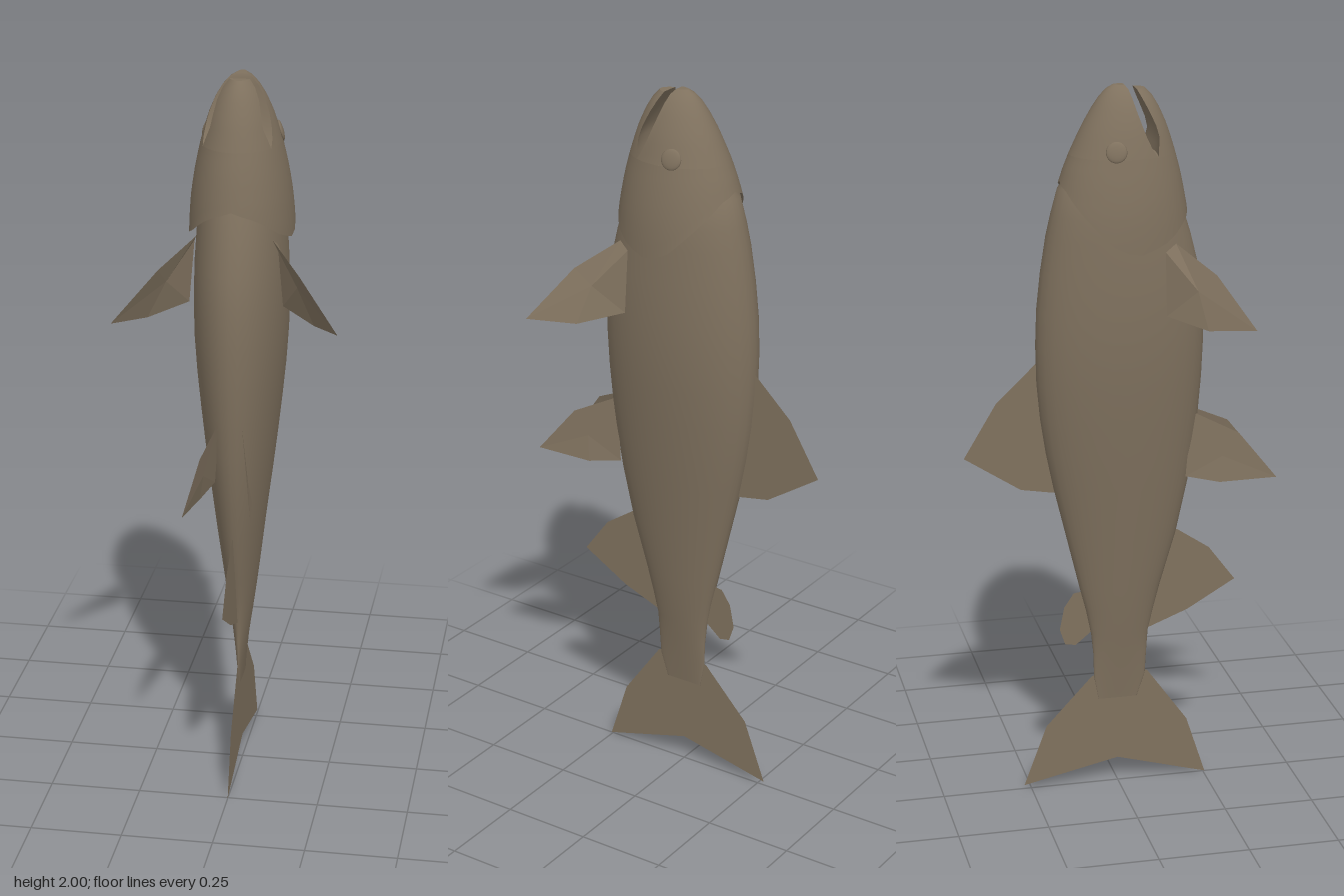
import * as THREE from 'three';

const SEG = 32;
const TAU = Math.PI * 2;

// Profiles as rows of [y, half width, back z, belly z]
const BODY = [
  [0.26, 0.001, -0.055, 0.055], [0.33, 0.009, -0.068, 0.078], [0.4, 0.018, -0.07, 0.082],
  [0.46, 0.027, -0.076, 0.086], [0.53, 0.037, -0.09, 0.102], [0.6, 0.046, -0.108, 0.12], [0.75, 0.064, -0.144, 0.164],
  [0.9, 0.083, -0.18, 0.196], [1.0, 0.095, -0.2, 0.211], [1.1, 0.106, -0.215, 0.223],
  [1.2, 0.116, -0.224, 0.231], [1.3, 0.123, -0.226, 0.235], [1.4, 0.125, -0.222, 0.233],
  [1.5, 0.123, -0.211, 0.222], [1.6, 0.117, -0.195, 0.197], [1.66, 0.112, -0.181, 0.178],
  [1.73, 0.1, -0.162, 0.155], [1.78, 0.07, -0.12, 0.12],
];
const HEAD = [
  [1.56, 0.14, -0.202, 0.198], [1.62, 0.138, -0.191, 0.192], [1.68, 0.133, -0.177, 0.184],
  [1.74, 0.124, -0.16, 0.173], [1.78, 0.116, -0.147, 0.164], [1.82, 0.107, -0.131, 0.153],
  [1.86, 0.096, -0.113, 0.141], [1.9, 0.083, -0.093, 0.127], [1.94, 0.066, -0.07, 0.109],
  [1.97, 0.048, -0.05, 0.091], [1.99, 0.03, -0.031, 0.072], [2.0, 0.014, -0.014, 0.055],
];
// Mouth opening as rows of [y, upper lip z, lower lip z]
const MOUTH = [
  [1.82, 0.088, 0.089], [1.84, 0.074, 0.092], [1.87, 0.06, 0.096], [1.9, 0.049, 0.088],
  [1.94, 0.036, 0.07], [1.97, 0.028, 0.055], [1.99, 0.022, 0.045], [2.0, 0.015, 0.045],
];

// Linear lookup in a table by its first column
function lookup(rows, y) {
  let i = 0;
  while (i < rows.length - 2 && y > rows[i + 1][0]) i++;
  const t = THREE.MathUtils.clamp((y - rows[i][0]) / (rows[i + 1][0] - rows[i][0]), 0, 1);
  return rows[i].map((v, k) => v + (rows[i + 1][k] - v) * t);
}

function onOval([y, w, back, front], a) {
  return [w * Math.sin(a), y, (front + back) / 2 + ((front - back) / 2) * Math.cos(a)];
}

// Skin between closed rings running upwards, with optional flat caps
function loft(rings, capBottom, capTop) {
  const n = rings[0].length, pos = rings.flat(2), idx = [];
  for (let i = 0; i < rings.length - 1; i++) {
    for (let j = 0; j < n; j++) {
      const k = (j + 1) % n, a = i * n + j, b = i * n + k;
      idx.push(a, b, b + n, a, b + n, a + n);
    }
  }
  const cap = (ring, up) => {
    const start = pos.length / 3;
    const mid = [0, 1, 2].map((c) => ring.reduce((s, p) => s + p[c], 0) / n);
    pos.push(...mid, ...ring.flat());
    for (let j = 0; j < n; j++) {
      const a = start + 1 + j, b = start + 1 + ((j + 1) % n);
      idx.push(start, ...(up ? [a, b] : [b, a]));
    }
  };
  if (capBottom) cap(rings[0], false);
  if (capTop) cap(rings[rings.length - 1], true);
  const g = new THREE.BufferGeometry();
  g.setAttribute('position', new THREE.Float32BufferAttribute(pos, 3));
  g.setIndex(idx);
  g.computeVertexNormals();
  return g;
}

// Flat fin from its outline
function finGeometry(points) {
  const n = points.length;
  const mid = [0, 1, 2].map((c) => points.reduce((s, p) => s + p[c], 0) / n);
  const pos = [];
  points.forEach((p, i) => pos.push(...mid, ...p, ...points[(i + 1) % n]));
  const g = new THREE.BufferGeometry();
  g.setAttribute('position', new THREE.Float32BufferAttribute(pos, 3));
  g.computeVertexNormals();
  return g;
}

// Lower edge of the head: gill flap low on the cheeks, higher at throat and nape
const GILL = [
  [0, 1.67], [0.5, 1.645], [1.0, 1.595], [1.4, 1.57], [1.7, 1.585],
  [2.0, 1.635], [2.3, 1.68], [2.7, 1.73], [Math.PI, 1.75],
];

function headRings() {
  const rings = [];
  const angles = Array.from({ length: SEG }, (_, j) => (j / SEG) * TAU);
  const gill = (a) => lookup(GILL, a > Math.PI ? TAU - a : a)[1];
  // inner rim tucked against the body, then a sharp outer rim
  const inner = angles.map((a) => {
    const p = onOval(lookup(BODY, gill(a) + 0.02), a);
    return [p[0] * 0.96, p[1], p[2] * 0.96];
  });
  const rim = angles.map((a) => onOval(lookup(HEAD, gill(a)), a));
  rings.push(inner, rim, rim);
  for (let i = 1; i <= 7; i++) {
    rings.push(angles.map((a) => onOval(lookup(HEAD, gill(a) + (1.82 - gill(a)) * (i / 7)), a)));
  }
  return rings;
}

// Jaw section: outer arc of the head oval closed by a slightly hollow lip line
function jawRing(y, upper) {
  const row = lookup(HEAD, y), mouth = lookup(MOUTH, y);
  const z = upper ? mouth[1] : mouth[2];
  const c = (row[2] + row[3]) / 2, d = (row[3] - row[2]) / 2;
  const a = Math.acos(THREE.MathUtils.clamp((z - c) / d, -0.98, 0.98));
  const from = upper ? a : -a, to = upper ? TAU - a : a;
  const ring = [];
  for (let j = 0; j <= 24; j++) ring.push(onOval(row, from + ((to - from) * j) / 24));
  const start = ring[24], end = ring[0];
  const hollow = (upper ? -0.012 : 0.01) * Math.min(1, (2.0 - y) * 12);
  for (let j = 0; j <= 10; j++) {
    const t = j / 10;
    ring.push([start[0] + (end[0] - start[0]) * t, y, start[2] + hollow * 4 * t * (1 - t)]);
  }
  return ring;
}

export function createModel() {
  const group = new THREE.Group();
  const skin = new THREE.MeshStandardMaterial({ color: 0x7f715e, side: THREE.DoubleSide });
  skin.name = 'brown skin';
  const add = (name, geometry) => {
    const mesh = new THREE.Mesh(geometry, skin);
    mesh.name = name;
    group.add(mesh);
    return mesh;
  };

  // Body and head
  const oval = (row) => Array.from({ length: SEG }, (_, j) => onOval(row, (j / SEG) * TAU));
  add('body', loft(BODY.map(oval), true, true));
  add('head', loft(headRings(), false, true));

  // Jaws
  const levels = [1.82, 1.84, 1.87, 1.9, 1.94, 1.97, 1.99];
  add('upperJaw', loft([...levels, 2.0].map((y) => jawRing(y, true)), false, true));
  add('lowerJaw', loft(levels.map((y) => jawRing(y, false)), false, true));

  // Fins on the centre line, as [z, y]
  const centreFins = {
    dorsalFin: [[-0.17, 1.27], [-0.225, 1.255], [-0.335, 1.15], [-0.425, 1.0], [-0.27, 0.9], [-0.18, 0.885], [-0.14, 0.9]],
    adiposeFin: [[-0.09, 0.59], [-0.125, 0.585], [-0.152, 0.545], [-0.165, 0.48], [-0.15, 0.435], [-0.12, 0.43], [-0.06, 0.48]],
    analFin: [[0.14, 0.76], [0.17, 0.75], [0.26, 0.69], [0.335, 0.59], [0.2, 0.51], [0.075, 0.46]],
    tailFin: [[0, 0.36], [0.085, 0.335], [0.2, 0.175], [0.255, 0.005], [0, 0.075], [-0.27, 0.015], [-0.205, 0.19], [-0.075, 0.33]],
  };
  for (const [name, outline] of Object.entries(centreFins)) {
    add(name, finGeometry(outline.map(([z, y]) => [0, y, z])));
  }

  // Paired fins and eyes
  const pelvic = [[0.03, 1.1, 0.2], [0.06, 1.04, 0.325], [0.09, 0.915, 0.425], [0.07, 0.905, 0.27], [0.045, 0.92, 0.18]];
  const pectoral = [
    [0.1, 1.59, 0.135], [0.185, 1.52, 0.225], [0.295, 1.395, 0.305],
    [0.22, 1.38, 0.195], [0.125, 1.4, 0.105], [0.11, 1.57, 0.105],
  ];
  for (const [side, s] of [['left', 1], ['right', -1]]) {
    const mirror = (pts) => pts.map(([x, y, z]) => [x * s, y, z]);
    add(side + 'PelvicFin', finGeometry(mirror(pelvic)));
    add(side + 'PectoralFin', finGeometry(mirror(pectoral)));
    const eye = add(side + 'Eye', new THREE.SphereGeometry(0.028, 16, 12));
    eye.scale.x = 0.25;
    eye.position.set(0.098 * s, 1.84, -0.025);
    eye.rotation.set(0, 0.2 * s, 0.27 * s);
  }
  return group;
}
